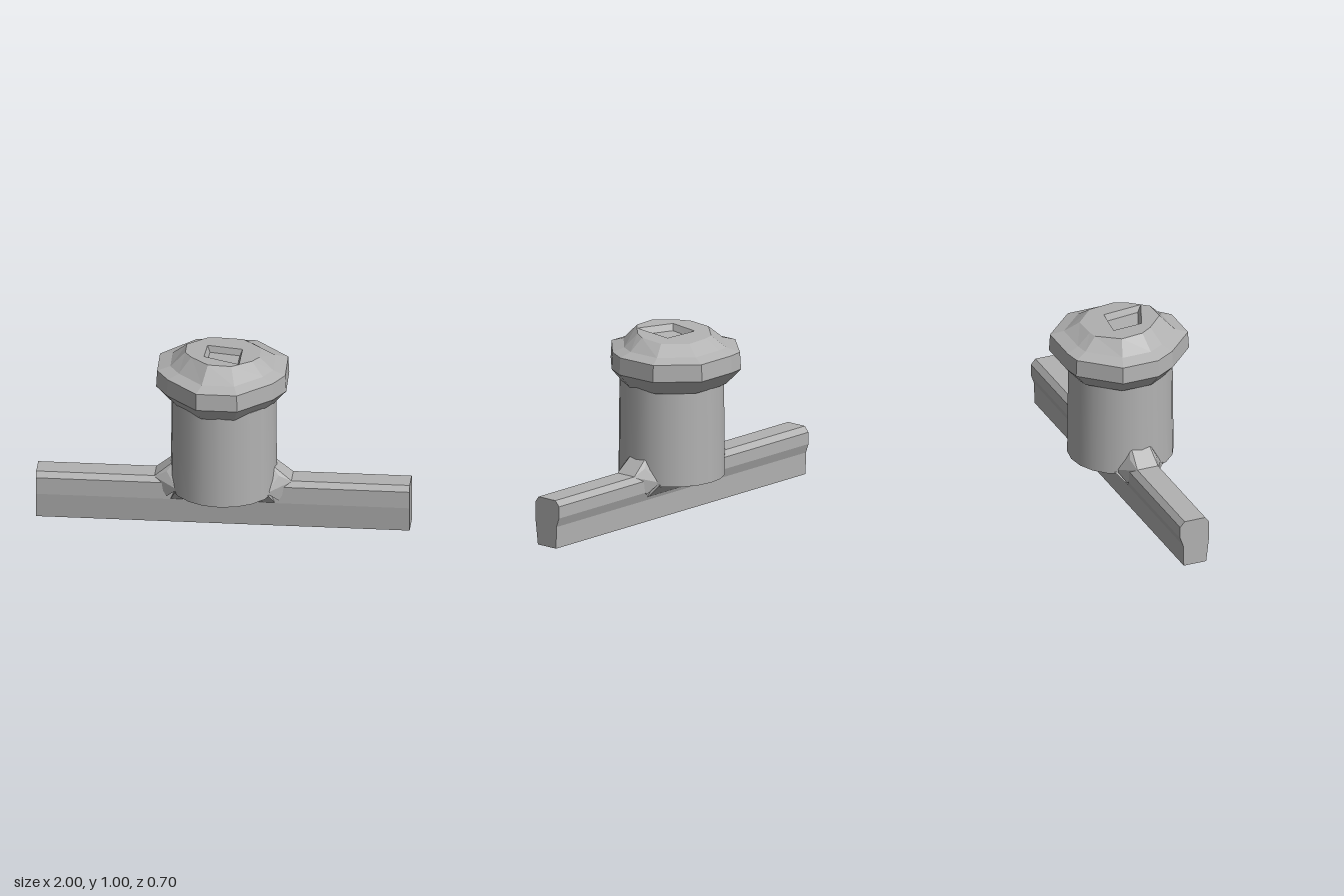
import * as THREE from 'three';
import { ConvexGeometry } from 'three/addons/geometries/ConvexGeometry.js';

// Flat-faced skin through rings of points, optionally closed at either end.
function loft(rings, closeStart, closeEnd) {
  const pos = [];
  const tri = (...pts) => pts.forEach(p => pos.push(p.x, p.y, p.z));
  const n = rings[0].length;
  for (let r = 0; r < rings.length - 1; r++) {
    const a = rings[r], b = rings[r + 1];
    for (let i = 0; i < n; i++) {
      const j = (i + 1) % n;
      tri(a[i], b[i], b[j]);
      tri(a[i], b[j], a[j]);
    }
  }
  const fan = (ring, up) => {
    const c = ring.reduce((s, p) => s.add(p), new THREE.Vector3()).divideScalar(n);
    for (let i = 0; i < n; i++) {
      const j = (i + 1) % n;
      if (up) tri(c, ring[j], ring[i]); else tri(c, ring[i], ring[j]);
    }
  };
  if (closeStart) fan(rings[0], false);
  if (closeEnd) fan(rings[rings.length - 1], true);
  const g = new THREE.BufferGeometry();
  g.setAttribute('position', new THREE.Float32BufferAttribute(pos, 3));
  g.computeVertexNormals();
  return g;
}

export function createModel() {
  const model = new THREE.Group();
  const grey = new THREE.MeshStandardMaterial({ color: 0xb2b2b2 });
  grey.name = 'plain grey';
  const add = (name, geometry) => {
    const mesh = new THREE.Mesh(geometry, grey);
    mesh.name = name;
    model.add(mesh);
  };

  // Long base bar: slightly tapered section swept along x
  const section = new THREE.Shape([
    [-0.065, 0], [0.065, 0], [0.068, 0.12], [0.086, 0.17], [0.086, 0.235], [0.06, 0.265],
    [-0.06, 0.265], [-0.082, 0.235], [-0.082, 0.14]
  ].map(([x, y]) => new THREE.Vector2(x, y)));
  const bar = new THREE.ExtrudeGeometry(section, { depth: 2, bevelEnabled: false });
  bar.translate(0, 0, -1).rotateY(Math.PI / 2);
  add('baseBar', bar);

  // Round body
  const body = new THREE.CylinderGeometry(0.28, 0.285, 0.54, 20);
  body.translate(0, 0.47, 0);
  add('body', body);

  // Flared saddle under the body
  const saddle = [];
  for (const sx of [-1, 1]) for (const sz of [-1, 1]) {
    saddle.push(new THREE.Vector3(sx * 0.25, 0.21, sz * 0.14));
    saddle.push(new THREE.Vector3(sx * 0.28, 0.14, sz * 0.08));
  }
  add('saddle', new ConvexGeometry(saddle));

  // Sloping webs between body and bar
  for (const s of [-1, 1]) {
    const pts = [];
    for (const z of [-1, 1]) {
      pts.push(
        new THREE.Vector3(s * 0.25, 0.36, z * 0.05),
        new THREE.Vector3(s * 0.30, 0.30, z * 0.075),
        new THREE.Vector3(s * 0.37, 0.262, z * 0.06),
        new THREE.Vector3(s * 0.30, 0.16, z * 0.09),
        new THREE.Vector3(s * 0.24, 0.22, z * 0.13)
      );
    }
    add(s > 0 ? 'leftWeb' : 'rightWeb', new ConvexGeometry(pts));
  }

  // Uneven faceted cap with a gently tilted crown
  const outline = [
    [-0.36, -0.14], [-0.18, -0.335], [-0.09, -0.35], [0.15, -0.35], [0.335, -0.165], [0.34, 0.07],
    [0.28, 0.18], [0.10, 0.347], [-0.12, 0.347], [-0.29, 0.18], [-0.357, 0.07]
  ];
  const crownY = (x, z) => 0.984 + 0.07 * z - 0.03 * x;
  const ring = (k, y) => outline.map(([x, z]) =>
    new THREE.Vector3(x * k, y === null ? crownY(x * k, z * k) : y, z * k));
  add('cap', loft([
    ring(0.79, 0.715), ring(1, 0.80), ring(0.985, 0.893), ring(0.79, 0.915), ring(0.57, null)
  ], true, false));

  // Crown face with a square opening
  const corners = [[-0.095, -0.08], [0.095, -0.055], [0.095, 0.16], [-0.1, 0.08]];
  const crown = new THREE.Shape(outline.map(([x, z]) => new THREE.Vector2(x * 0.57, -z * 0.57)));
  crown.holes.push(new THREE.Path(corners.map(([x, z]) => new THREE.Vector2(x, -z))));
  const top = new THREE.ShapeGeometry(crown);
  top.rotateX(-Math.PI / 2);
  const p = top.attributes.position;
  for (let i = 0; i < p.count; i++) p.setY(i, crownY(p.getX(i), p.getZ(i)));
  top.computeVertexNormals();
  add('crown', top);

  // Shallow square socket
  const socketRing = (k, drop) => corners.map(([x, z]) =>
    new THREE.Vector3(x * k, crownY(x, z) - drop, z * k));
  add('socket', loft([socketRing(1, 0), socketRing(0.85, 0.035)], false, true));

  return model;
}
